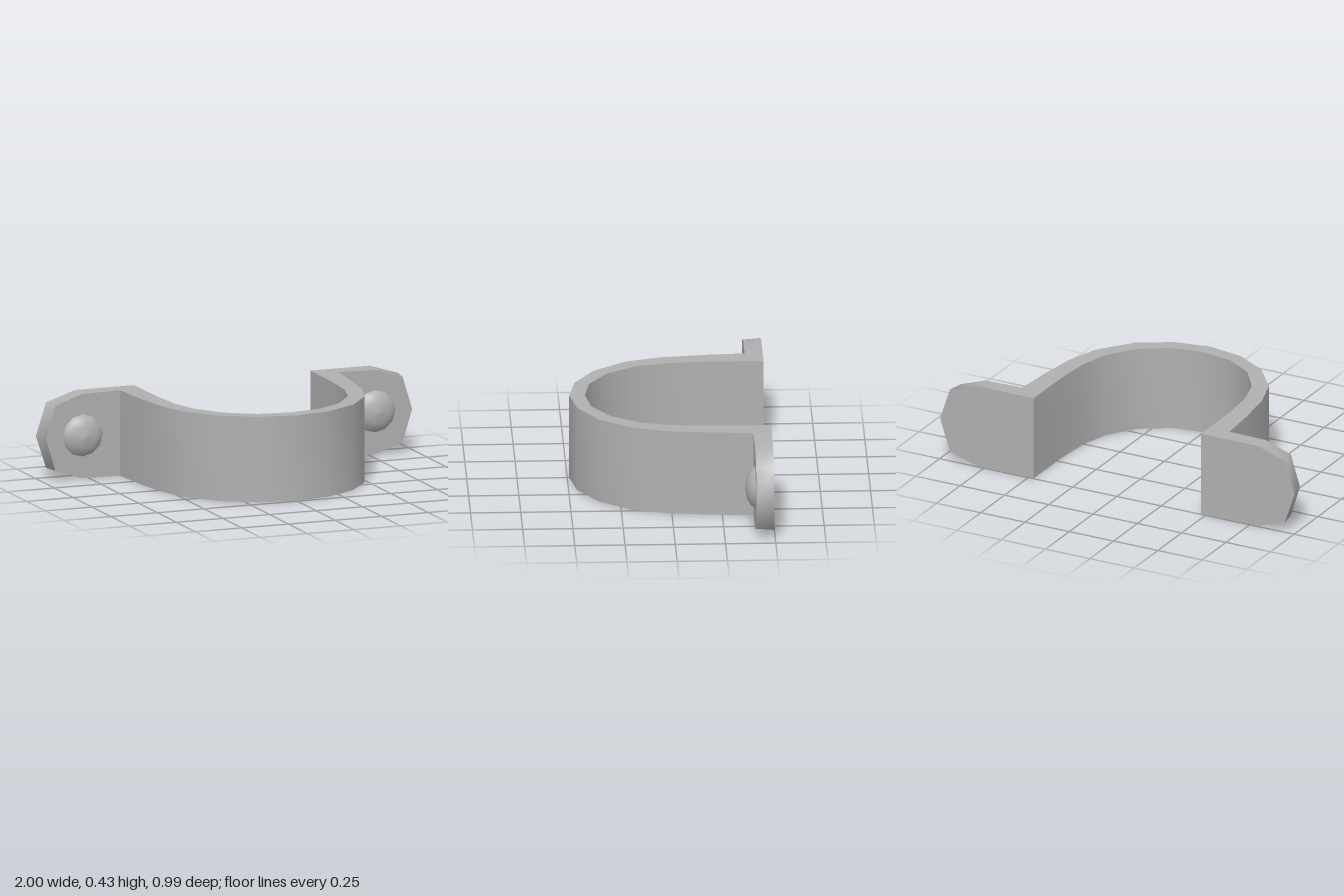
import * as THREE from 'three';
import { toCreasedNormals } from 'three/addons/utils/BufferGeometryUtils.js';

const BOTTOM = 0.003, TOP = 0.437, BACK = -0.495, FRONT = -0.405;

export function createModel() {
  const group = new THREE.Group();
  const steel = new THREE.MeshStandardMaterial({ color: 0xb0b0b0 });
  steel.name = 'grey steel';

  const add = (name, geometry, parent = group) => {
    const mesh = new THREE.Mesh(geometry, steel);
    mesh.name = name;
    parent.add(mesh);
    return mesh;
  };

  // U-shaped band: right half as [x, z] from back to front, mirrored to a closed outline
  const outer = [[0.585, BACK], [0.585, FRONT], [0.57, -0.2], [0.542, 0.02], [0.487, 0.19], [0.358, 0.355], [0.185, 0.457]];
  const inner = [[0.472, BACK], [0.47, -0.2], [0.455, 0], [0.412, 0.15], [0.31, 0.295], [0.163, 0.386]];
  const mirrored = (half, tip) => [...half, [0, tip], ...half.map(([x, z]) => [-x, z]).reverse()];
  const outline = [...mirrored(outer, 0.49), ...mirrored(inner, 0.412).reverse()];
  const bandShape = new THREE.Shape(outline.map(([x, z]) => new THREE.Vector2(x, -z)));
  const band = new THREE.ExtrudeGeometry(bandShape, { depth: TOP - BOTTOM, bevelEnabled: false });
  band.rotateX(-Math.PI / 2).translate(0, BOTTOM, 0);
  add('band', toCreasedNormals(band, 0.65));

  // Mounting ear whose rim tapers towards its front face
  const earGeometry = (side) => {
    const points = [[0.585, 0.003], [0.79, 0.003], [0.945, 0.053], [1, 0.22], [0.945, 0.387], [0.79, 0.437], [0.585, 0.437]];
    const shape = new THREE.Shape(points.map(([x, y]) => new THREE.Vector2(side * x, y)));
    const geometry = new THREE.ExtrudeGeometry(shape, { depth: FRONT - BACK, bevelEnabled: false });
    geometry.translate(0, 0, BACK);
    const p = geometry.attributes.position;
    for (let i = 0; i < p.count; i++) {
      const x = Math.abs(p.getX(i));
      if (p.getZ(i) > (FRONT + BACK) / 2 && x > 0.6) {
        p.setX(i, side * (x - 0.018 * (x - 0.79) / 0.21));
        p.setY(i, 0.22 + (p.getY(i) - 0.22) * 0.985);
      }
    }
    return toCreasedNormals(geometry, 1.0);
  };

  // Domed rivet head facing forward
  const dome = [[0.107, 0], [0.092, 0.022], [0.056, 0.042], [0, 0.05]].map(([r, h]) => new THREE.Vector2(r, h));
  const rivetGeometry = new THREE.LatheGeometry(dome, 12).rotateX(Math.PI / 2);

  for (const [name, side] of [['left', 1], ['right', -1]]) {
    const ear = new THREE.Group();
    ear.name = name + 'Mount';
    add(name + 'Ear', earGeometry(side), ear);
    add(name + 'Rivet', rivetGeometry, ear).position.set(side * 0.785, 0.223, FRONT);
    group.add(ear);
  }
  return group;
}
